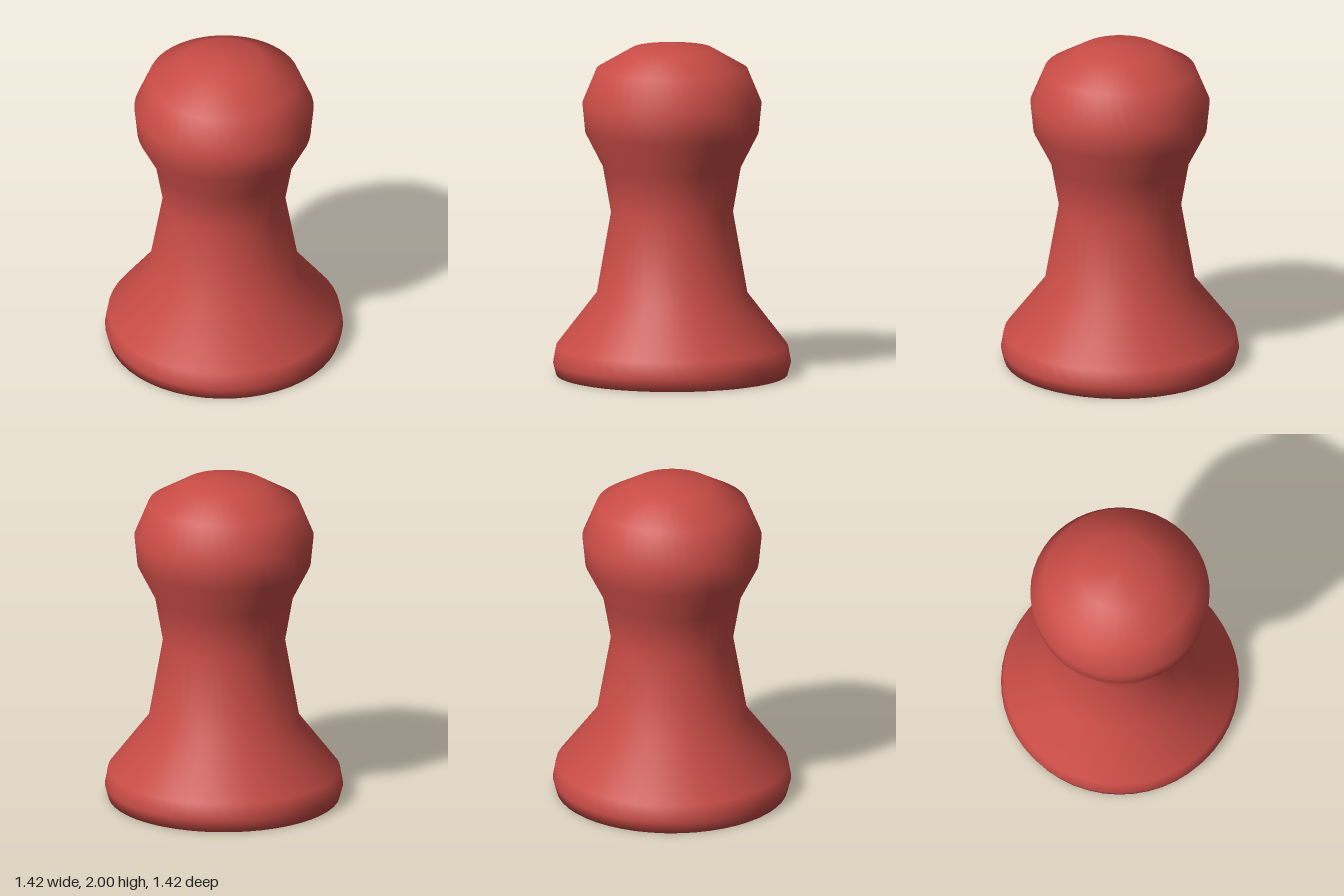
import * as THREE from 'three';
import { mergeVertices } from 'three/addons/utils/BufferGeometryUtils.js';

// Half outline from the centre of the underside up to the crown: [radius, height]
const PROFILE = [
  [0, 0], [0.69, 0], [0.71, 0.075], [0.692, 0.175], // base
  [0.45, 0.49], [0.364, 0.98], [0.412, 1.255],      // skirt, waist and neck
  [0.517, 1.46], [0.535, 1.64], [0.45, 1.845],      // head
  [0.24, 1.967], [0, 2],                            // crown
];

// Lathe whose seam and poles are welded so the shading is smooth all round
function smoothLathe(profile, sides) {
  const points = profile.map(([r, y]) => new THREE.Vector2(r, y));
  const geometry = new THREE.LatheGeometry(points, sides);
  geometry.deleteAttribute('uv');
  geometry.deleteAttribute('normal');
  const welded = mergeVertices(geometry, 1e-4);
  welded.computeVertexNormals();
  return welded;
}

export function createModel() {
  const red = new THREE.MeshStandardMaterial({ color: 0xc94c46 });
  red.name = 'red';

  const pawn = new THREE.Mesh(smoothLathe(PROFILE, 48), red);
  pawn.name = 'pawnBody';

  const model = new THREE.Group();
  model.name = 'pawn';
  model.add(pawn);
  return model;
}
